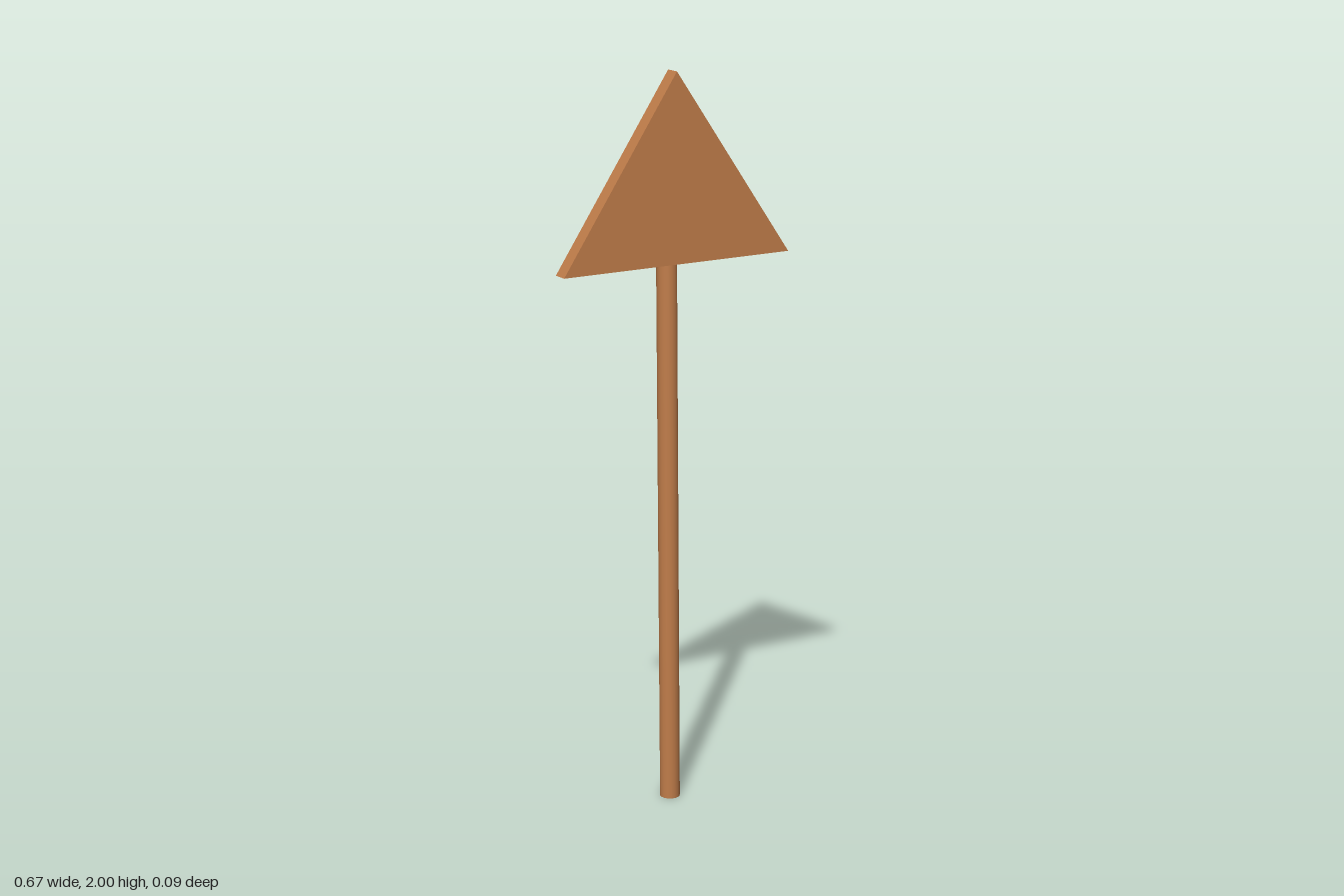
import * as THREE from 'three';
import { mergeVertices } from 'three/addons/utils/BufferGeometryUtils.js';

export function createModel() {
  const group = new THREE.Group();
  const wood = new THREE.MeshStandardMaterial({ color: 0xc17d4a });
  wood.name = 'brown wood';

  // Triangular board, slightly uneven like a hand-cut sign
  const shape = new THREE.Shape([
    new THREE.Vector2(-0.335, 1.5),
    new THREE.Vector2(0.333, 1.506),
    new THREE.Vector2(-0.007, 2),
  ]);
  const board = new THREE.Mesh(
    new THREE.ExtrudeGeometry(shape, { depth: 0.045, bevelEnabled: false }), wood);
  board.name = 'triangularBoard';
  group.add(board);

  // Round post behind the board; caps share normals with the side for soft ends
  const height = 1.765;
  let geo = new THREE.CylinderGeometry(0.0275, 0.0275, height, 16);
  geo.deleteAttribute('normal');
  geo.deleteAttribute('uv');
  geo = mergeVertices(geo, 1e-4);
  geo.translate(0, height / 2, 0);

  // Lean the post slightly towards -x
  const pos = geo.attributes.position;
  for (let i = 0; i < pos.count; i++) {
    pos.setX(i, pos.getX(i) + 0.009 - 0.012 * pos.getY(i) / height);
  }
  geo.computeVertexNormals();
  const post = new THREE.Mesh(geo, wood);
  post.name = 'post';
  post.position.z = -0.0185;
  group.add(post);

  return group;
}
